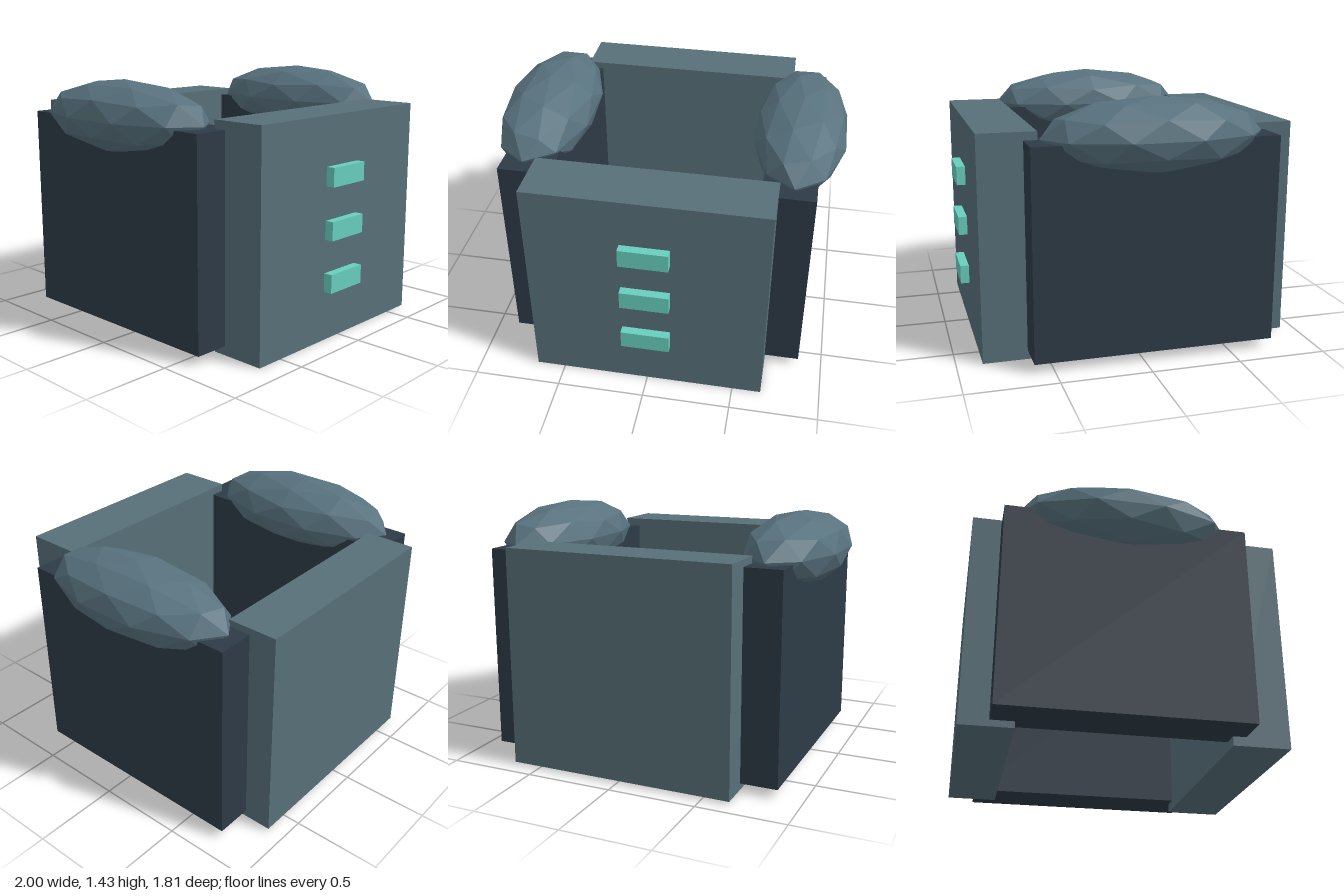
import * as THREE from 'three';

const panelMat = new THREE.MeshStandardMaterial({ name: 'slate panel', color: 0x576f78 });
const wallMat = new THREE.MeshStandardMaterial({ name: 'dark navy', color: 0x2d3a46 });
const ventMat = new THREE.MeshStandardMaterial({ name: 'mint', color: 0x67cdbd });
const padMat = new THREE.MeshStandardMaterial({ name: 'blue slate', color: 0x58727e, flatShading: true });

// Box given by its lower and upper corners
function box(name, material, [x0, y0, z0], [x1, y1, z1]) {
  const mesh = new THREE.Mesh(new THREE.BoxGeometry(x1 - x0, y1 - y0, z1 - z0), material);
  mesh.position.set((x0 + x1) / 2, (y0 + y1) / 2, (z0 + z1) / 2);
  mesh.name = name;
  return mesh;
}

// Faceted ellipsoid with a vertex on top and one ridge facing inwards
function shoulderPad(side) {
  const geo = new THREE.IcosahedronGeometry(1, 1);
  geo.rotateX(-Math.atan((1 + Math.sqrt(5)) / 2));
  geo.rotateY(-side * Math.PI / 2);
  geo.scale(0.27, 0.205, 0.614);
  geo.computeVertexNormals();
  const mesh = new THREE.Mesh(geo, padMat);
  mesh.position.set(side * 0.743, 1.228, -0.073);
  return mesh;
}

export function createModel() {
  const model = new THREE.Group();
  model.name = 'openTorso';

  // Front and back plates
  model.add(box('frontPlate', panelMat, [-0.665, 0, 0.535], [0.665, 1.26, 0.857]));
  model.add(box('backPlate', panelMat, [-0.655, 0.015, -0.907], [0.655, 1.252, -0.616]));

  // Side walls with a pad on each
  for (const side of [-1, 1]) {
    const label = side > 0 ? 'left' : 'right';
    const xs = [side * 0.572, side * 0.863].sort((a, b) => a - b);
    model.add(box(label + 'Wall', wallMat, [xs[0], 0.052, -0.747], [xs[1], 1.213, 0.61]));
    const pad = shoulderPad(side);
    pad.name = label + 'ShoulderPad';
    model.add(pad);
  }

  // Column of raised light bars on the front
  for (let i = 0; i < 3; i++) {
    const y = 0.283 + i * 0.297;
    model.add(box('lightBar' + (i + 1), ventMat, [-0.137, y, 0.85], [0.137, y + 0.107, 0.907]));
  }
  return model;
}
